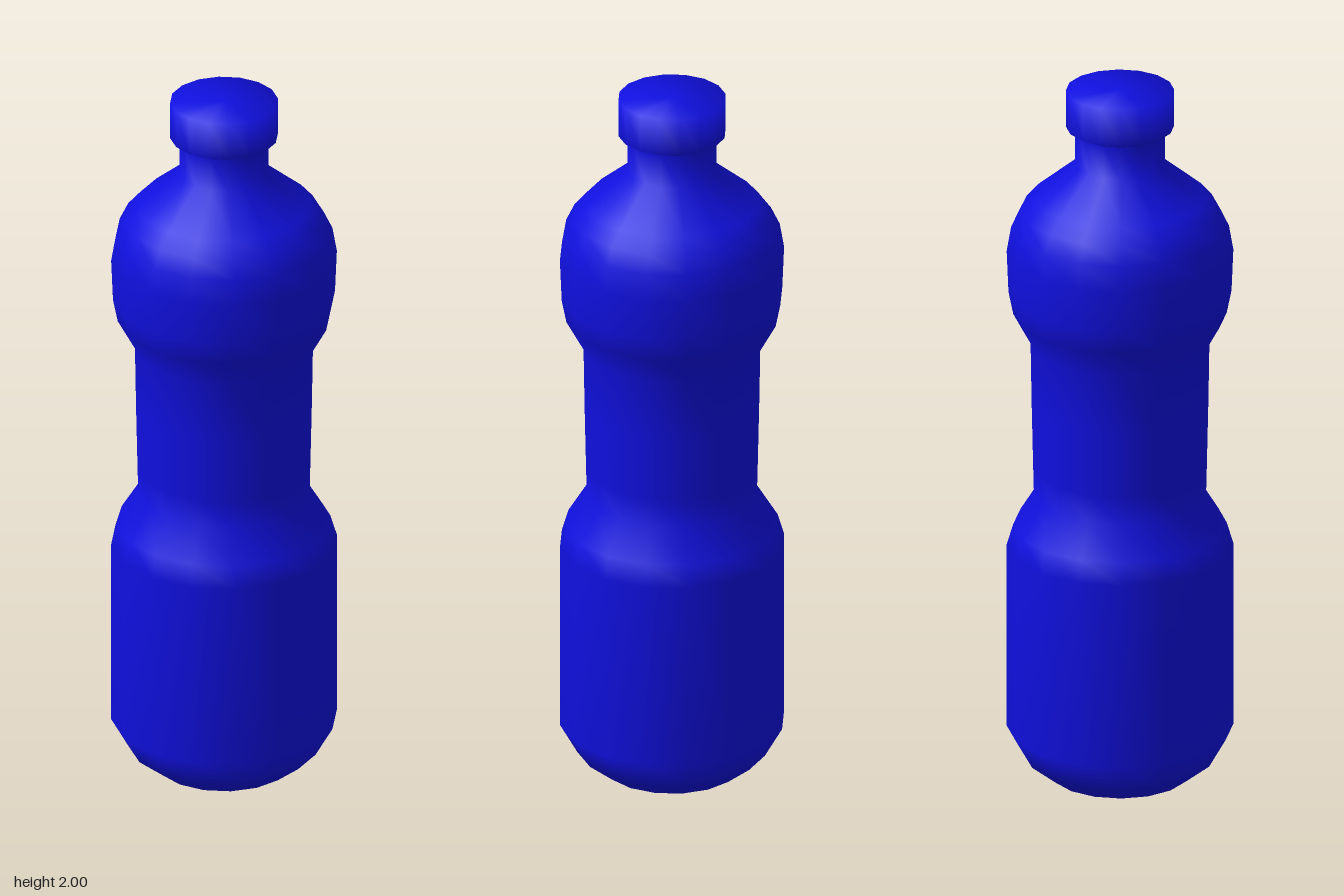
import * as THREE from 'three';

const SIDES = 16;

// Turns a list of [radius, height] points, bottom to top, into a smooth lathe
function lathe(name, profile, material) {
  const points = profile.map(([r, y]) => new THREE.Vector2(r, y));
  const mesh = new THREE.Mesh(new THREE.LatheGeometry(points, SIDES), material);
  mesh.name = name;
  return mesh;
}

export function createModel() {
  const group = new THREE.Group();
  group.name = 'bottle';
  const blue = new THREE.MeshStandardMaterial({ color: 0x1010e0 });

  // Body: flat base, lower bulge, narrow grip, rounded shoulder, neck
  group.add(lathe('body', [
    [0, 0], [0.19, 0], [0.26, 0.055], [0.308, 0.14],
    [0.308, 0.67], [0.29, 0.73],
    [0.234, 0.82], [0.236, 0.9], [0.24, 1.08], [0.243, 1.26],
    [0.29, 1.345], [0.303, 1.41], [0.308, 1.53],
    [0.296, 1.6], [0.272, 1.65], [0.237, 1.69],
    [0.122, 1.785], [0.122, 1.88],
  ], blue));

  // Cap: short flared lip with a closed top
  group.add(lathe('cap', [
    [0.122, 1.88], [0.147, 1.893], [0.147, 2], [0, 2],
  ], blue));

  return group;
}
